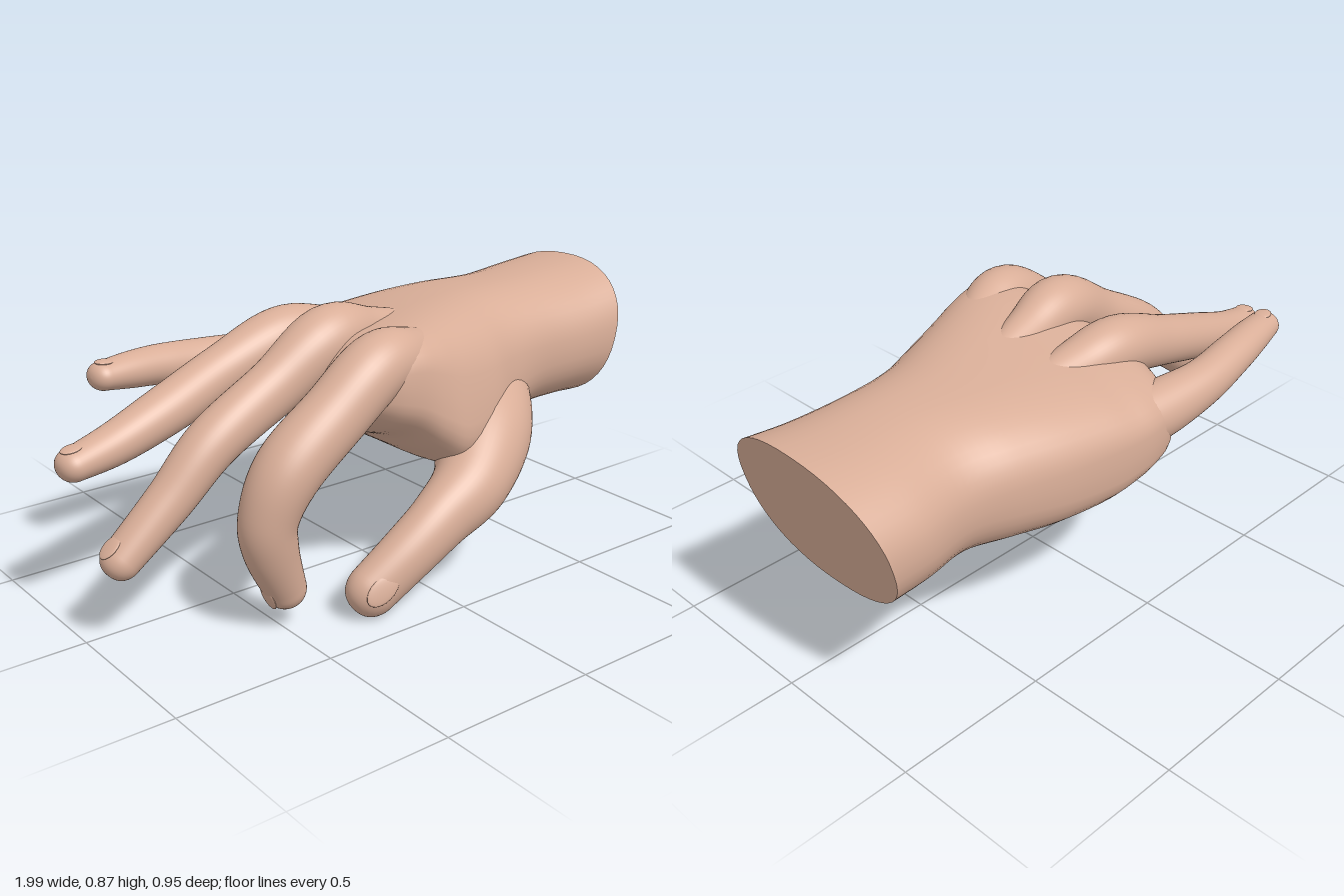
import * as THREE from 'three';

const skin = new THREE.MeshStandardMaterial({ color: 0xd9ae98 });
skin.name = 'skin';
const SIDES = 48;
const V = (x, y, z) => new THREE.Vector3(x, y, z);
const { lerp } = THREE.MathUtils;

// Smooth (Catmull-Rom) interpolation of every column of a table of rows
function refine(rows, steps) {
  const out = [];
  const last = rows.length - 1;
  for (let i = 0; i < last; i++) {
    const [a, b, c, d] = [rows[Math.max(i - 1, 0)], rows[i], rows[i + 1], rows[Math.min(i + 2, last)]];
    for (let s = 0; s < steps; s++) {
      const t = s / steps;
      out.push(b.map((p, k) => {
        const m0 = (c[k] - a[k]) / 2, m1 = (d[k] - p) / 2;
        return p + m0 * t + (3 * (c[k] - p) - 2 * m0 - m1) * t * t + (2 * (p - c[k]) + m0 + m1) * t * t * t;
      }));
    }
  }
  out.push(rows[last]);
  return out;
}

function makeGeometry(points, index) {
  const geometry = new THREE.BufferGeometry().setFromPoints(points);
  geometry.setIndex(index);
  geometry.computeVertexNormals();
  return geometry;
}

const centre = (ring) => ring.reduce((sum, p) => sum.add(p), V(0, 0, 0)).divideScalar(ring.length);

// Skin a list of closed rings and close the far end
function loft(rings) {
  const index = [];
  const n = SIDES;
  for (let i = 0; i < rings.length - 1; i++) {
    for (let j = 0; j < n; j++) {
      const a = i * n + j, b = i * n + (j + 1) % n;
      index.push(a, b, a + n, b, b + n, a + n);
    }
  }
  const base = (rings.length - 1) * n, pole = rings.length * n;
  for (let j = 0; j < n; j++) index.push(base + j, base + (j + 1) % n, pole);
  return makeGeometry([...rings.flat(), centre(rings.at(-1))], index);
}

function addMesh(group, name, geometry) {
  const mesh = new THREE.Mesh(geometry, skin);
  mesh.name = name;
  group.add(mesh);
  return mesh;
}

// Directions along, across and on the back of a digit
function frame(from, to) {
  const along = to.clone().sub(from).normalize();
  const side = V(0, 0, 1).addScaledVector(along, -along.z).normalize();
  return { along, side, up: along.clone().cross(side) };
}

// A digit from rows of x, y, z, half width, half thickness
function addDigit(hand, name, rows, nailAngle = Math.PI / 2) {
  const group = new THREE.Group();
  group.name = name;
  const fine = refine(rows, 7);
  const at = (i) => V(...fine[i].slice(0, 3));
  const ring = (c, f, w, h) => Array.from({ length: SIDES }, (_, j) => {
    const a = (j / SIDES) * Math.PI * 2;
    return c.clone().addScaledVector(f.side, Math.cos(a) * w).addScaledVector(f.up, Math.sin(a) * h);
  });
  const last = fine.length - 1;
  const rings = fine.map((r, i) =>
    ring(at(i), frame(at(Math.max(i - 1, 0)), at(Math.min(i + 1, last))), r[3], r[4]));

  // Blunt, rounded fingertip
  const tip = at(last), f = frame(at(last - 1), tip);
  const [, , , w, h] = fine[last];
  for (let k = 1; k <= 10; k++) {
    const a = (k / 10) * 1.54;
    const shrink = Math.cos(a) ** 0.85;
    rings.push(ring(tip.clone().addScaledVector(f.along, Math.sin(a) * h), f, w * shrink, h * shrink));
  }
  addMesh(group, name + 'Flesh', loft(rings));

  // Fingernail, a thin shell set into the back of the tip
  const c = Math.cos(nailAngle), s = Math.sin(nailAngle);
  const out = f.side.clone().multiplyScalar(c).addScaledVector(f.up, s);
  const nail = addMesh(group, name + 'Nail', new THREE.SphereGeometry(1, 20, 12));
  nail.scale.set(h * 0.7, 0.007, w * 0.5);
  nail.quaternion.setFromRotationMatrix(new THREE.Matrix4().makeBasis(f.along, out, f.along.clone().cross(out)));
  nail.position.copy(tip).addScaledVector(out, Math.hypot(w * c, h * s) * 0.95).addScaledVector(f.along, -h * 0.1);
  hand.add(group);
}

// Wrist and palm stations: x, outer z, inner z (top, bottom), top y (outer, inner),
// bottom y (outer, inner), end slant, roundness. The low inner edge is the thumb web.
const PALM = [
  [0.94, -0.43, 0.20, 0.20, 0.82, 0.85, 0.38, 0.36, 0.25, 0.88],
  [0.80, -0.42, 0.20, 0.20, 0.81, 0.83, 0.38, 0.37, 0.18, 0.88],
  [0.62, -0.385, 0.20, 0.20, 0.80, 0.825, 0.37, 0.37, 0.08, 0.86],
  [0.45, -0.42, 0.21, 0.26, 0.79, 0.83, 0.36, 0.35, 0, 0.78],
  [0.30, -0.45, 0.25, 0.36, 0.77, 0.84, 0.35, 0.33, 0, 0.7],
  [0.13, -0.47, 0.31, 0.42, 0.74, 0.85, 0.36, 0.34, 0, 0.62],
  [0.03, -0.475, 0.35, 0.41, 0.72, 0.855, 0.38, 0.41, 0, 0.6],
  [-0.06, -0.47, 0.375, 0.39, 0.71, 0.855, 0.40, 0.49, 0, 0.6],
  [-0.15, -0.44, 0.375, 0.375, 0.70, 0.845, 0.42, 0.53, 0, 0.65],
  [-0.22, -0.35, 0.33, 0.33, 0.69, 0.79, 0.46, 0.57, 0, 0.75],
  [-0.28, -0.22, 0.22, 0.22, 0.67, 0.70, 0.55, 0.61, 0, 0.9],
];

function palmRing([x, z0, zTop, zBot, topOut, topIn, botOut, botIn, slant, power]) {
  const bend = (v) => (Math.sign(v) * Math.abs(v) ** power + 1) / 2;
  return Array.from({ length: SIDES }, (_, j) => {
    const a = (j / SIDES) * Math.PI * 2;
    const u = bend(Math.cos(a)), v = bend(Math.sin(a));
    const y = lerp(lerp(botOut, botIn, u), lerp(topOut, topIn, u), v);
    return V(x + slant * (y - 0.6), y, lerp(z0, lerp(zBot, zTop, v), u));
  });
}

export function createModel() {
  const hand = new THREE.Group();
  hand.name = 'hand';

  // Wrist and palm in one skin, with a flat cut at the wrist
  const rings = refine(PALM, 6).map(palmRing);
  addMesh(hand, 'palm', loft(rings));
  const cut = [];
  for (let j = 0; j < SIDES; j++) cut.push(SIDES, (j + 1) % SIDES, j);
  addMesh(hand, 'wristCut', makeGeometry([...rings[0], centre(rings[0])], cut));

  // Fingers rise gently out of the back of the hand
  addDigit(hand, 'indexFinger', [
    [0.2, 0.7, 0.12, 0.05, 0.05], [-0.03, 0.735, 0.245, 0.085, 0.09], [-0.17, 0.74, 0.285, 0.1, 0.1],
    [-0.33, 0.635, 0.3, 0.097, 0.1], [-0.49, 0.51, 0.3, 0.1, 0.1], [-0.555, 0.38, 0.29, 0.088, 0.088],
    [-0.545, 0.27, 0.28, 0.08, 0.082], [-0.49, 0.13, 0.265, 0.064, 0.064],
  ]);
  addDigit(hand, 'middleFinger', [
    [0.25, 0.71, -0.02, 0.05, 0.06], [0, 0.755, 0.03, 0.075, 0.08], [-0.18, 0.775, 0.06, 0.1, 0.1],
    [-0.38, 0.67, 0.075, 0.08, 0.088], [-0.6, 0.55, 0.08, 0.08, 0.08], [-0.75, 0.41, 0.08, 0.07, 0.07],
    [-0.91, 0.27, 0.075, 0.063, 0.058],
  ]);
  addDigit(hand, 'ringFinger', [
    [0.25, 0.69, -0.17, 0.05, 0.06], [0, 0.715, -0.17, 0.08, 0.08], [-0.18, 0.725, -0.18, 0.095, 0.095],
    [-0.4, 0.66, -0.175, 0.08, 0.082], [-0.62, 0.585, -0.15, 0.077, 0.075], [-0.8, 0.53, -0.13, 0.067, 0.064],
    [-0.945, 0.505, -0.11, 0.058, 0.05],
  ]);
  addDigit(hand, 'littleFinger', [
    [0.2, 0.58, -0.33, 0.07, 0.07], [0, 0.59, -0.36, 0.085, 0.09], [-0.15, 0.595, -0.38, 0.088, 0.092],
    [-0.33, 0.62, -0.4, 0.073, 0.075], [-0.5, 0.645, -0.385, 0.067, 0.064], [-0.62, 0.655, -0.365, 0.061, 0.056],
    [-0.715, 0.66, -0.348, 0.053, 0.045],
  ]);

  // Thumb with its thick base muscle
  addDigit(hand, 'thumb', [
    [0.65, 0.57, -0.08, 0.08, 0.08], [0.45, 0.48, 0.08, 0.15, 0.15], [0.3, 0.41, 0.235, 0.155, 0.16],
    [0.15, 0.325, 0.35, 0.118, 0.125], [0, 0.255, 0.385, 0.088, 0.1], [-0.12, 0.18, 0.385, 0.08, 0.09],
    [-0.245, 0.09, 0.37, 0.072, 0.085],
  ], 0.4);

  return hand;
}
